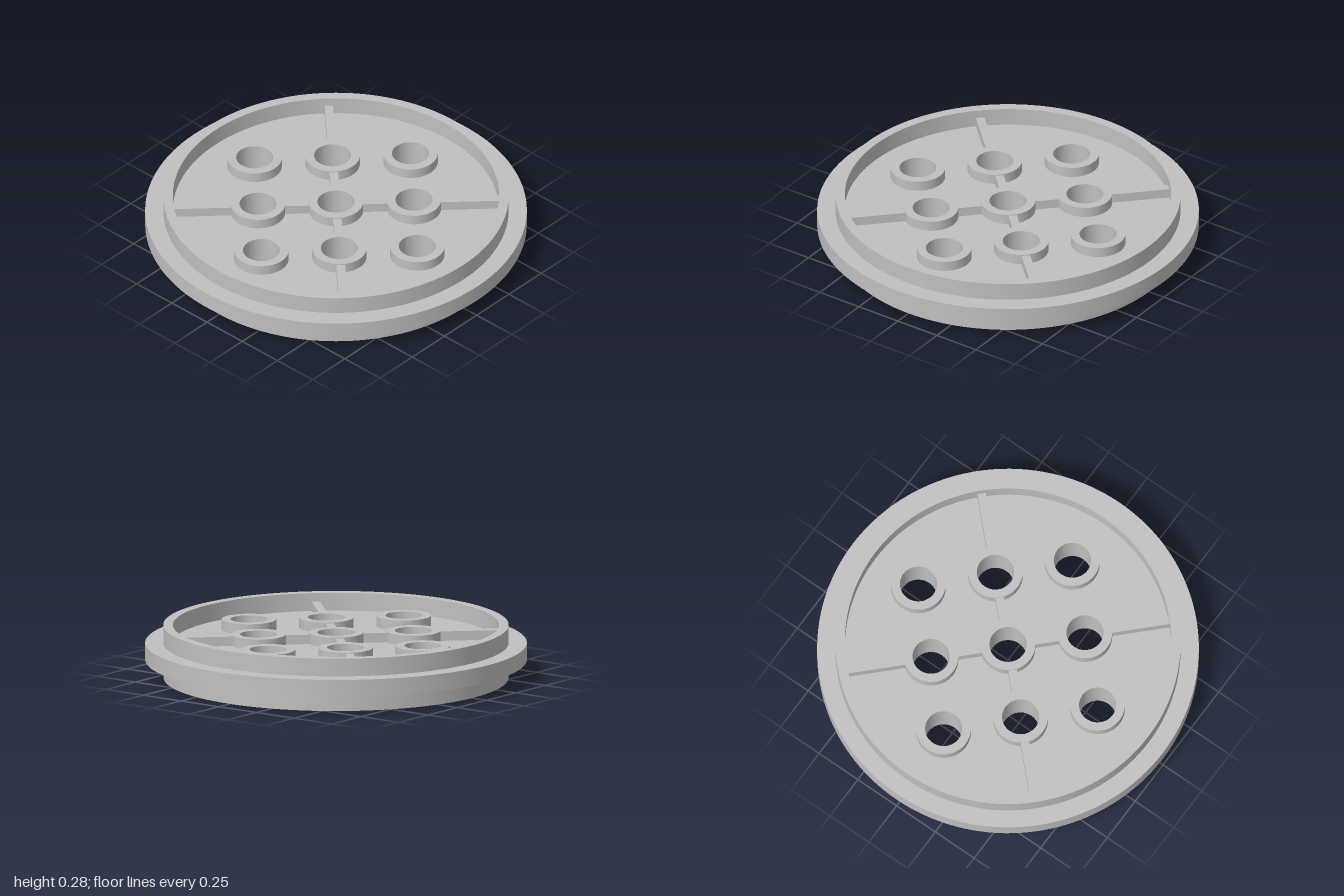
import * as THREE from 'three';
import { toCreasedNormals } from 'three/addons/utils/BufferGeometryUtils.js';

const HEIGHT = 0.28, WEB_LOW = 0.095, WEB_HIGH = 0.185;
const HOLE_R = 0.097, BOSS_R = 0.143, BOSS_H = 0.055, RIB_H = 0.05, RIB_W = 0.045;

// Bore centres: one in the middle, four on the axes, four on the diagonals
const BORES = [[0, 0]];
for (const s of [-1, 1]) {
  BORES.push([s * 0.578, 0], [0, s * 0.578], [s * 0.289, 0.289], [s * 0.289, -0.289]);
}

// Upright round plate from y0 to y1 with round holes [x, z, radius]
function plate(radius, holes, y0, y1, segments) {
  const shape = new THREE.Shape().absarc(0, 0, radius, 0, Math.PI * 2, false);
  for (const [x, z, r] of holes) {
    shape.holes.push(new THREE.Path().absarc(x, -z, r, 0, Math.PI * 2, true));
  }
  const geometry = new THREE.ExtrudeGeometry(shape, {
    depth: y1 - y0, bevelEnabled: false, curveSegments: segments,
  });
  geometry.rotateX(-Math.PI / 2).translate(0, y0, 0);
  return toCreasedNormals(geometry, Math.PI / 5);
}

export function createModel() {
  const model = new THREE.Group();
  model.name = 'flangedDisc';
  const grey = new THREE.MeshStandardMaterial({ color: 0xc0c0c0 });
  grey.name = 'lightGrey';

  const add = (name, geometry) => {
    const mesh = new THREE.Mesh(geometry, grey);
    mesh.name = name;
    model.add(mesh);
    return mesh;
  };

  // Flange and web in one perforated disc
  add('flangeDisc', plate(1, BORES.map(([x, z]) => [x, z, HOLE_R]), WEB_LOW, WEB_HIGH, 72));

  // Matching rim, bosses and ribs above and below the web
  const sides = [
    { label: 'upper', base: WEB_HIGH, dir: 1, end: HEIGHT },
    { label: 'lower', base: WEB_LOW, dir: -1, end: 0 },
  ];
  for (const { label, base, dir, end } of sides) {
    const span = (a, b) => [Math.min(a, b), Math.max(a, b)];
    add(label + 'Rim', plate(0.905, [[0, 0, 0.855]], ...span(base, end), 72));

    const boss = plate(BOSS_R, [[0, 0, HOLE_R]], ...span(base, base + dir * BOSS_H), 40);
    for (const [x, z] of BORES) add(label + 'Boss', boss).position.set(x, 0, z);

    // Diagonal ribs, broken by the bosses
    for (const [start, stop] of [[0.137, 0.272], [0.546, 0.862]]) {
      const rib = new THREE.BoxGeometry(stop - start, RIB_H, RIB_W);
      rib.translate((start + stop) / 2, base + dir * RIB_H / 2, 0);
      for (let i = 0; i < 4; i++) {
        add(label + 'Rib', rib).rotation.y = Math.PI / 4 + i * Math.PI / 2;
      }
    }
  }
  return model;
}
